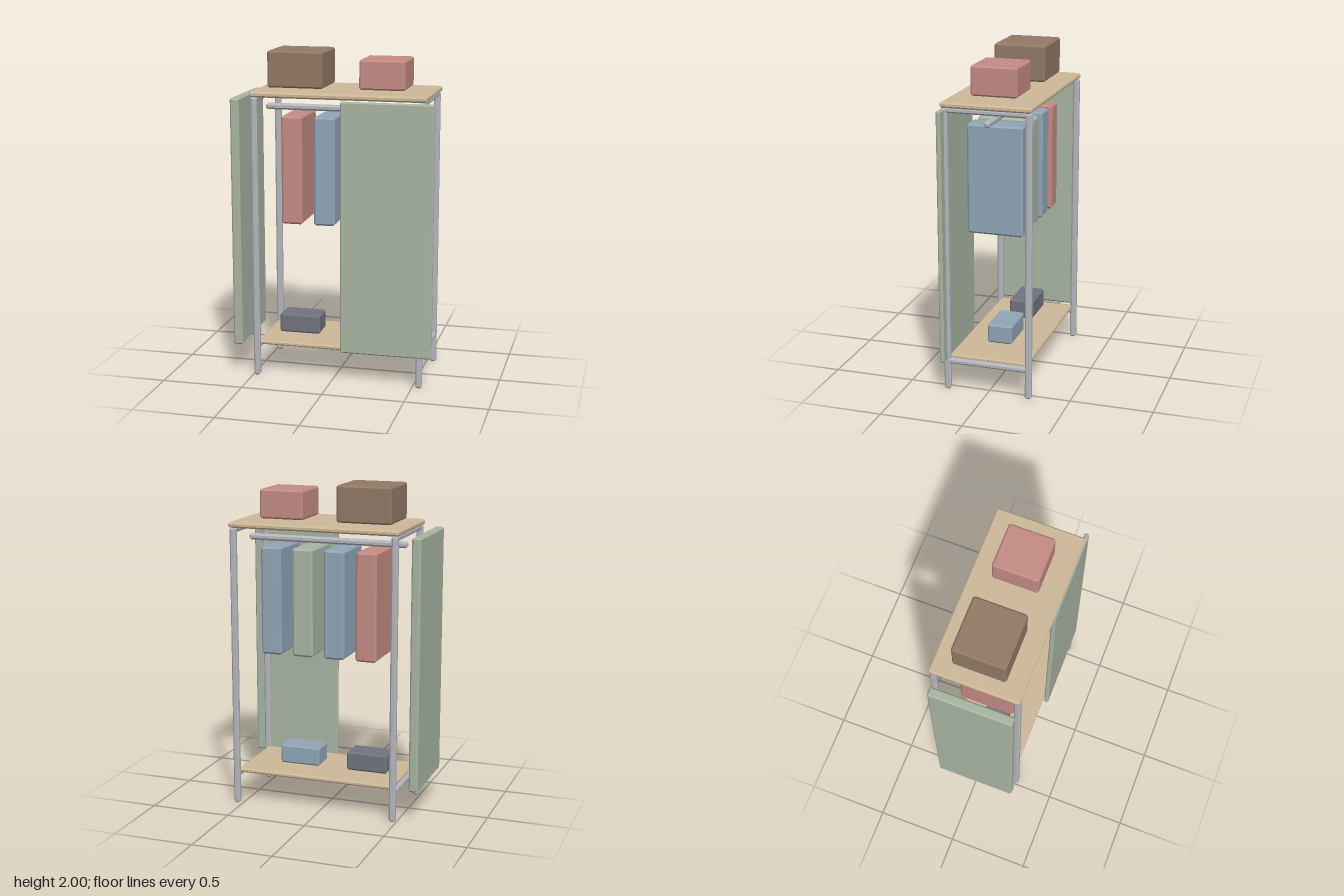
import * as THREE from 'three';
import { ConvexGeometry } from 'three/addons/geometries/ConvexGeometry.js';

const mat = (color) => new THREE.MeshStandardMaterial({ color, flatShading: true });

// Box with flat chamfered edges
function chamferBox(w, h, d, c) {
  const pts = [];
  for (const x of [-1, 1]) for (const y of [-1, 1]) for (const z of [-1, 1]) {
    const [X, Y, Z] = [w / 2, h / 2, d / 2];
    pts.push(
      new THREE.Vector3(x * X, y * (Y - c), z * (Z - c)),
      new THREE.Vector3(x * (X - c), y * Y, z * (Z - c)),
      new THREE.Vector3(x * (X - c), y * (Y - c), z * Z));
  }
  return new ConvexGeometry(pts);
}

export function createModel() {
  const group = new THREE.Group();
  const metal = mat(0xb4b6bc), wood = mat(0xcdb798), green = mat(0xa8b5a2);
  const pink = mat(0xc48b84), blue = mat(0x90a5b6), brown = mat(0x927966), grey = mat(0x70747e);

  // Adds a chamfered box spanning the given [min, max] ranges
  function block(name, material, [x0, x1], [y0, y1], [z0, z1], c = 0.01) {
    const mesh = new THREE.Mesh(chamferBox(x1 - x0, y1 - y0, z1 - z0, c), material);
    mesh.position.set((x0 + x1) / 2, (y0 + y1) / 2, (z0 + z1) / 2);
    mesh.name = name;
    group.add(mesh);
  }
  const around = (centre, size) => [centre - size / 2, centre + size / 2];

  // Metal frame: four posts and cross bars at both ends
  for (const x of [-0.475, 0.54]) {
    for (const z of [-0.255, 0.25]) block('post', metal, around(x, 0.04), [0, 1.735], around(z, 0.04), 0.011);
    block('lowerCrossBar', metal, around(x, 0.034), [0.165, 0.2], [-0.255, 0.25]);
    block('upperCrossBar', metal, around(x, 0.034), [1.703, 1.737], [-0.255, 0.25]);
  }

  // Hanging rail
  block('hangingRail', metal, [-0.475, 0.54], [1.627, 1.665], around(-0.002, 0.038), 0.011);

  // Shelves
  block('topShelf', wood, [-0.502, 0.568], [1.733, 1.767], [-0.275, 0.27]);
  block('bottomShelf', wood, [-0.47, 0.535], [0.193, 0.22], [-0.245, 0.24], 0.008);

  // Sliding front door and the opened side door
  block('frontDoor', green, [0.055, 0.618], [0.19, 1.725], [0.247, 0.275], 0.008);
  block('sideDoor', green, [-0.622, -0.566], [0.19, 1.725], [-0.235, 0.27]);

  // Hanging garments
  [pink, blue, green, blue].forEach((m, i) =>
    block('garment', m, around(-0.27 + i * 0.202, 0.13), [0.95, 1.613], [-0.172, 0.168], 0.012));

  // Storage boxes on top
  block('largeStorageBox', brown, [-0.42, -0.08], [1.78, 2], [-0.162, 0.158]);
  block('smallStorageBox', pink, [0.138, 0.415], [1.78, 1.957], [-0.143, 0.137]);

  // Shoe boxes on the bottom shelf
  block('shoeBox', grey, [-0.38, -0.122], [0.23, 0.348], [-0.08, 0.076]);
  block('shoeBox', blue, [0.06, 0.318], [0.23, 0.348], [-0.08, 0.076]);

  return group;
}
